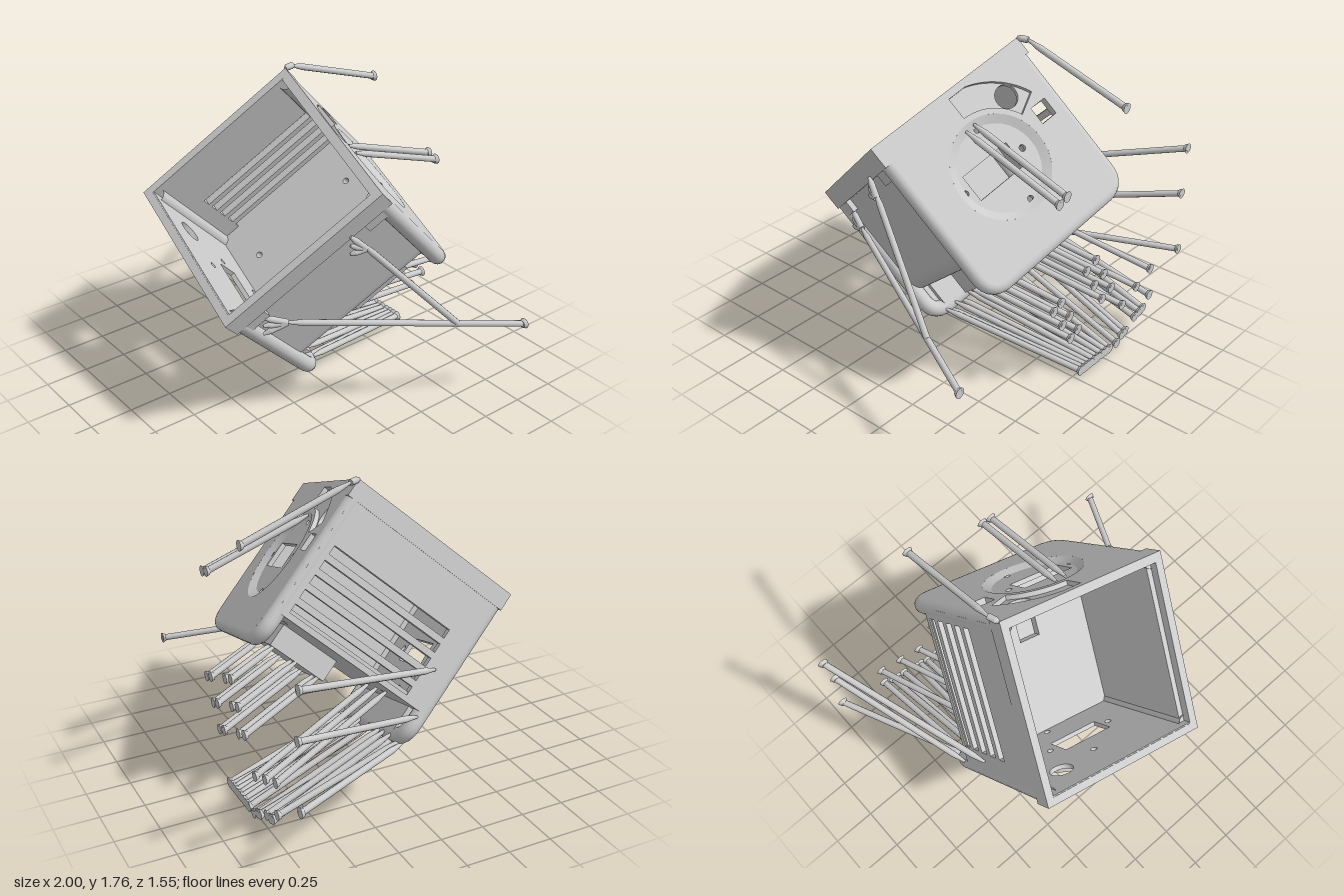
import * as THREE from 'three';

const V = (x, y, z) => new THREE.Vector3(x, y, z);
const S = 1.03, D = 0.98, FLOOR = 0.78;   // side, plate depth, body depth

// tilted frame of the box: u across, v down the opening, w into the box
const origin = V(-0.27, 1.74, -0.1);
const U = V(0.9375, -0.322, 0.137).normalize();
const W = new THREE.Vector3().crossVectors(U, V(-0.32, -0.63, 0.707)).normalize();
const VV = new THREE.Vector3().crossVectors(W, U).normalize();
const world = (a, b, c) =>
  origin.clone().addScaledVector(U, a).addScaledVector(VV, b).addScaledVector(W, c);

const mat = new THREE.MeshStandardMaterial({ color: 0xcccccc, side: THREE.DoubleSide });

function add(parent, geo, name) {
  const m = new THREE.Mesh(geo, mat);
  m.name = name;
  parent.add(m);
  return m;
}
function box(parent, name, x0, x1, y0, y1, z0, z1) {
  add(parent, new THREE.BoxGeometry(x1 - x0, y1 - y0, z1 - z0), name)
    .position.set((x0 + x1) / 2, (y0 + y1) / 2, (z0 + z1) / 2);
}
function rectPath(T, x0, x1, y0, y1) {
  return new T([[x0, y0], [x1, y0], [x1, y1], [x0, y1]].map(p => new THREE.Vector2(...p)));
}
const rectHole = (cx, cy, w, h) => rectPath(THREE.Path, cx - w / 2, cx + w / 2, cy - h / 2, cy + h / 2);
const roundHole = (x, y, r) => new THREE.Path().absarc(x, y, r, 0, Math.PI * 2, false);

// extruded sheet lying in the plane of two local axes
function sheet(parent, name, shape, depth, ax, ay, pos) {
  const geo = new THREE.ExtrudeGeometry(shape, { depth, bevelEnabled: false, curveSegments: 20 });
  geo.applyMatrix4(new THREE.Matrix4()
    .makeBasis(ax, ay, new THREE.Vector3().crossVectors(ax, ay)).setPosition(pos));
  add(parent, geo, name);
}

const X = V(1, 0, 0), Y = V(0, 1, 0), Z = V(0, 0, 1);
const EDGE = 0.045, LAYER = 0.026;

// plate outline with rounded far corners
function plateShape() {
  const s = new THREE.Shape(), e = EDGE, r = 0.1, b = S - e, f = D - e;
  s.moveTo(e, 0.002);
  s.lineTo(b, 0.002);
  s.lineTo(b, f - r);
  s.quadraticCurveTo(b, f, b - r, f);
  s.lineTo(e + r, f);
  s.quadraticCurveTo(e, f, e, f - r);
  return s;
}

// large side plate: dished outer layer, pierced inner layer, rounded edge
function endPlate(parent, name, lower) {
  const g = new THREE.Group();
  g.name = name;
  const cx = 0.53, cy = 0.475, rim = 0.28;
  const outer = plateShape(), inner = plateShape();
  outer.holes.push(roundHole(cx, cy, rim));
  const from = Math.PI * (lower ? 1.04 : 1.15), to = Math.PI * 1.5;
  const arc = new THREE.Path();
  arc.absarc(cx, cy, 0.45, from, to, false);
  arc.absarc(cx, cy, 0.31, to, from, true);
  arc.closePath();
  outer.holes.push(arc);
  inner.holes.push(rectHole(0.57, 0.47, 0.31, 0.15), roundHole(0.25, 0.21, 0.065));
  for (const [x, y] of [[0.5, 0.25], [0.5, 0.7], [0.36, 0.47], [0.77, 0.47]])
    inner.holes.push(roundHole(x, y, 0.018));
  if (!lower) {
    inner.holes.push(rectHole(0.143, 0.388, 0.1, 0.1));
    outer.holes.push(rectHole(0.143, 0.388, 0.1, 0.1));
  }
  // extrusion runs towards -v
  sheet(g, 'outerLayer', outer, LAYER, X, Z, V(0, lower ? S : LAYER, 0));
  sheet(g, 'innerLayer', inner, LAYER, X, Z, V(0, lower ? S - LAYER : LAYER * 2, 0));
  // sloping side of the round dish
  const radii = lower ? [rim, 0.235] : [0.235, rim];
  add(g, new THREE.CylinderGeometry(...radii, LAYER, 48, 1, true), 'dishSlope')
    .position.set(cx, lower ? S - LAYER / 2 : LAYER / 2, cy);

  const yc = lower ? S - EDGE : EDGE, e = EDGE, r = 0.1, b = S - e, f = D - e;
  const path = new THREE.CurvePath();
  const p = (x, z) => V(x, yc, z);
  path.add(new THREE.LineCurve3(p(e, 0.04), p(e, f - r)));
  path.add(new THREE.QuadraticBezierCurve3(p(e, f - r), p(e, f), p(e + r, f)));
  path.add(new THREE.LineCurve3(p(e + r, f), p(b - r, f)));
  path.add(new THREE.QuadraticBezierCurve3(p(b - r, f), p(b, f), p(b, f - r)));
  path.add(new THREE.LineCurve3(p(b, f - r), p(b, 0.04)));
  add(g, new THREE.TubeGeometry(path, 120, EDGE, 14, false), 'roundedEdge');
  // thicken the overhang beyond the floor
  const t = LAYER * 2;
  const y0 = lower ? S - 0.09 : t, y1 = lower ? S - t : 0.09;
  box(g, 'farLip', 0.12, S - 0.12, y0, y1, FLOOR, D - EDGE);
  parent.add(g);
}

// support strut with a thin tip and a flat foot on the back plane
const BACK = -0.78;
function strut(parent, start, end, foot = true) {
  const g = new THREE.Group();
  g.name = 'supportStrut';
  const rod = (a, b, r0, r1) => {
    const d = b.clone().sub(a);
    const m = add(g, new THREE.CylinderGeometry(r1, r0, d.length(), 10), 'rod');
    m.position.copy(a).addScaledVector(d, 0.5);
    m.quaternion.setFromUnitVectors(Y, d.normalize());
  };
  const neck = start.clone().lerp(end, Math.min(0.3, 0.08 / start.distanceTo(end)));
  rod(start, neck, 0.008, 0.018);
  rod(neck, end, 0.018, 0.018);
  if (foot) {
    const f = add(g, new THREE.CylinderGeometry(0.02, 0.03, 0.02, 12), 'foot');
    f.rotation.x = Math.PI / 2;
    f.position.set(end.x, end.y, BACK + 0.01);
  }
  parent.add(g);
}

export function createModel() {
  const model = new THREE.Group();
  model.name = 'boxWithSupports';
  const body = new THREE.Group();
  body.name = 'openBox';
  body.applyMatrix4(new THREE.Matrix4().makeBasis(U, VV, W).setPosition(origin));
  model.add(body);

  endPlate(body, 'upperPlate', false);
  endPlate(body, 'lowerPlate', true);

  // square rim around the opening
  const t = 0.045;
  box(body, 'rimUpper', 0, S, 0, t, 0, 0.04);
  box(body, 'rimLower', 0, S, S - t, S, 0, 0.04);
  box(body, 'rimSlotted', 0, t, 0, S, 0, 0.1);
  box(body, 'rimPlain', S - t, S, 0, S, 0, 0.12);

  // slotted wall
  const slotted = rectPath(THREE.Shape, 0.03, S - 0.03, 0.05, FLOOR);
  for (let i = 0; i < 5; i++) slotted.holes.push(rectHole(0.47, 0.37 + i * 0.088, 0.76, 0.052));
  sheet(body, 'slottedWall', slotted, 0.042, Y, Z, V(0.003, 0, 0));

  // plain wall, set back between the plates and curving into the floor
  const wall = new THREE.Shape(), wo = S - 0.035, wi = S - 0.075, bend = 0.1;
  wall.moveTo(wi, 0.05);
  wall.lineTo(wo, 0.05);
  wall.lineTo(wo, FLOOR - bend);
  wall.quadraticCurveTo(wo, FLOOR, wo - bend, FLOOR);
  wall.lineTo(wo - bend, FLOOR - 0.05);
  wall.lineTo(wi, FLOOR - 0.05);
  sheet(body, 'plainWall', wall, S - 0.06, X, Z, V(0, S - 0.03, 0));
  for (const y of [0.12, S - 0.12])
    box(body, 'wallCornerPad', S - 0.05, S - 0.005, y - 0.06, y + 0.06, 0.11, 0.19);

  // floor with screw holes and a pocket beneath
  const floor = rectPath(THREE.Shape, 0.01, wo - bend, 0.03, S - 0.03);
  floor.holes.push(roundHole(0.3, 0.18, 0.018), roundHole(0.3, 0.84, 0.018),
    rectHole(0.56, 0.36, 0.13, 0.13));
  sheet(body, 'floor', floor, 0.05, X, Y, V(0, 0, FLOOR - 0.05));
  const pocket = rectPath(THREE.Shape, 0.45, 0.9, 0.22, 0.58);
  pocket.holes.push(rectPath(THREE.Path, 0.48, 0.87, 0.25, 0.55));
  sheet(body, 'pocketWalls', pocket, 0.12, X, Y, V(0, 0, FLOOR));
  box(body, 'pocketBottom', 0.45, 0.9, 0.22, 0.58, 0.88, 0.91);

  // single struts around the sides and on the upper plate
  const foot = (x, y) => V(x, y, BACK + 0.005);
  strut(model, world(0, 0, 0), V(-0.29, 1.735, -0.16), false);
  strut(model, V(-0.29, 1.735, -0.16), foot(-0.32, 1.52));
  strut(model, V(0.17, 1.42, -0.18), foot(0.16, 1.21));
  strut(model, V(0.23, 1.4, -0.18), foot(0.22, 1.19));
  strut(model, V(-0.64, 0.78, 0.15), foot(-0.97, 1.04));
  strut(model, V(-0.69, 0.56, 0.02), foot(-0.95, 0.76));
  strut(model, V(-0.64, 0.39, -0.04), foot(-0.97, 0.38));

  // forked strut on the plain wall
  const joint = V(0.81, 0.545, -0.42);
  strut(model, V(0.42, 0.68, 0.42), foot(0.97, 0.48));
  strut(model, V(0.62, 1.12, 0.1), joint, false);
  for (const dy of [-0.05, 0, 0.05]) {
    strut(model, V(0.37, 0.68 + dy, 0.54), V(0.42, 0.68, 0.42), false);
    strut(model, V(0.6, 1.12 + dy, 0.16), V(0.63, 1.09, 0.08), false);
  }

  // struts under the far edge of the lower plate: position along edge, foot x, foot y
  const row = [
    [0.1, -0.69, 0.2], [0.14, -0.63, 0.14], [0.19, -0.6, 0.13], [0.24, -0.55, 0.12],
    [0.27, -0.46, 0.07], [0.31, -0.43, 0.06], [0.38, -0.38, 0.03], [0.47, -0.31, 0.03],
    [0.57, -0.28, 0.03], [0.64, -0.24, 0.03], [0.7, -0.2, 0.03], [0.75, -0.17, 0.03],
    [0.8, -0.13, 0.03], [0.85, -0.1, 0.03], [0.89, -0.07, 0.03], [0.92, -0.04, 0.03],
  ];
  row.forEach(([a, x, y], i) =>
    strut(model, world(a, S - 0.03 - 0.05 * (i % 2), D - 0.03), foot(x, y)));

  // struts under the pocket and the floor
  const under = (a, b, c) => {
    const p = world(a, b, c), run = p.z - BACK;
    strut(model, p, foot(p.x - 0.3 * run, p.y - 0.3 * run));
  };
  for (const a of [0.47, 0.56, 0.8, 0.87])
    for (const b of [0.25, 0.4, 0.55]) under(a, b, 0.9);
  for (const a of [0.2, 0.35, 0.5]) under(a, 0.82, FLOOR);
  return model;
}
